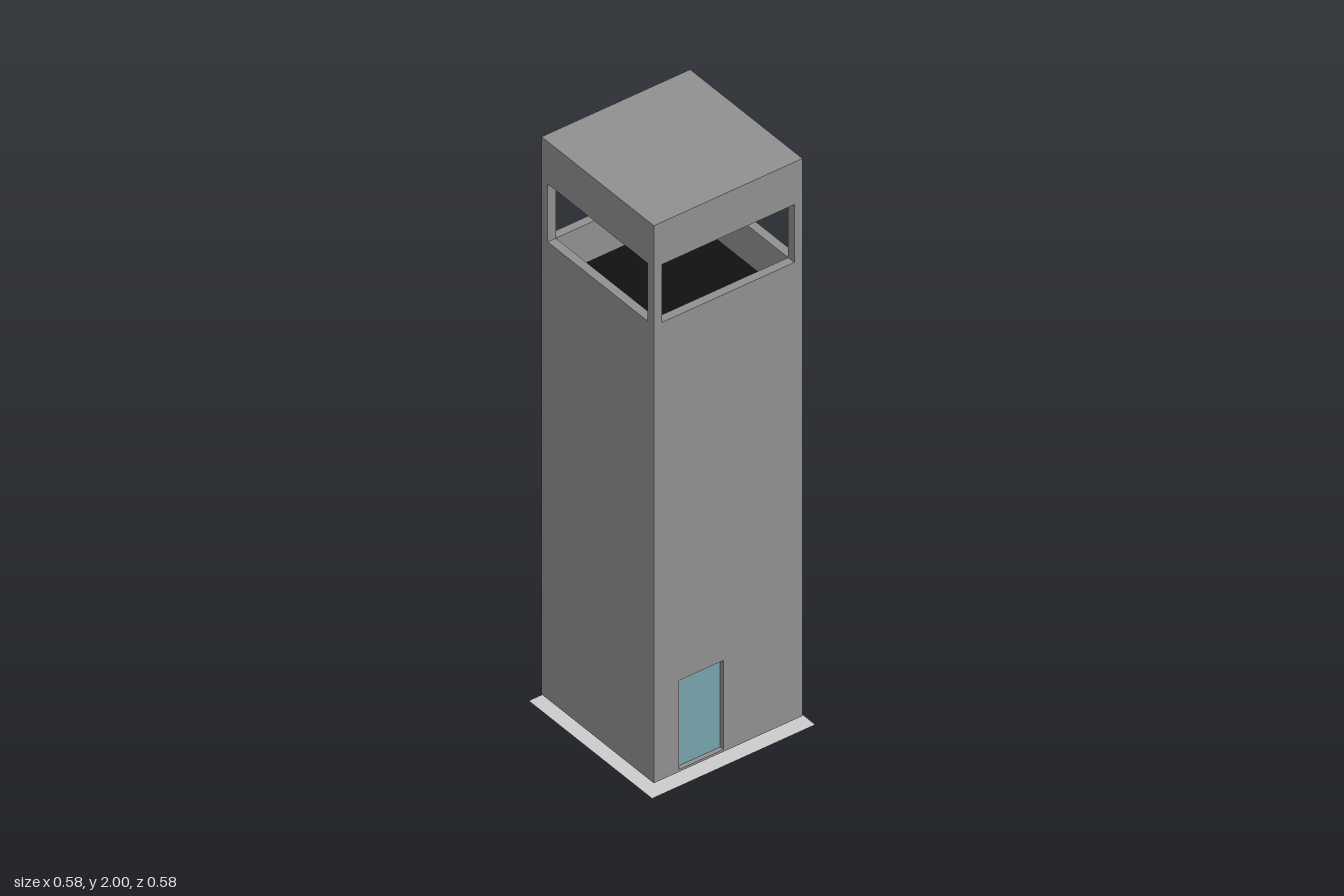
import * as THREE from 'three';

const H = 0.264;      // half width of the tower
const T = 0.029;      // wall thickness
const IN = H - T;     // half width inside
const BASE = 0.027, SILL = 1.645, HEAD = 1.85, CEIL = 1.93, TOP = 2;

const wallMat = new THREE.MeshStandardMaterial({ color: 0x909090 });
const floorMat = new THREE.MeshStandardMaterial({ color: 0x111111 });
const doorMat = new THREE.MeshStandardMaterial({ color: 0x76a3ac });
const slabMat = new THREE.MeshStandardMaterial({ color: 0xcccccc, side: THREE.DoubleSide });

function rect(target, x0, x1, y0, y1) {
  target.moveTo(x0, y0);
  target.lineTo(x1, y0);
  target.lineTo(x1, y1);
  target.lineTo(x0, y1);
  target.closePath();
  return target;
}

// Wall panel standing on the +z side, turned to its own side by yaw
function panel(name, yaw, halfW, y0, y1, hole) {
  const shape = rect(new THREE.Shape(), -halfW, halfW, y0, y1);
  if (hole) shape.holes.push(rect(new THREE.Path(), ...hole));
  const geo = new THREE.ExtrudeGeometry(shape, { depth: T, bevelEnabled: false });
  geo.translate(0, 0, IN);
  const mesh = new THREE.Mesh(geo, wallMat);
  mesh.name = name;
  mesh.rotation.y = yaw;
  return mesh;
}

function slab(name, width, y0, y1, mat) {
  const mesh = new THREE.Mesh(new THREE.BoxGeometry(width, y1 - y0, width), mat);
  mesh.name = name;
  mesh.position.y = (y0 + y1) / 2;
  return mesh;
}

export function createModel() {
  const g = new THREE.Group();
  g.name = 'lookoutTower';

  // Front and back walls carry the corner posts
  const opening = [-IN, IN, SILL, HEAD];
  g.add(panel('frontWall', 0, H, BASE, CEIL, opening));
  g.add(panel('backWall', Math.PI, H, BASE, CEIL, opening));

  // Side walls and lintels fit between them; the left one has the doorway
  const doorway = [-0.175, -0.017, 0.035, 0.35];
  g.add(panel('leftWall', Math.PI / 2, IN, BASE, SILL, doorway));
  g.add(panel('rightWall', -Math.PI / 2, IN, BASE, SILL));
  g.add(panel('leftLintel', Math.PI / 2, IN, HEAD, CEIL));
  g.add(panel('rightLintel', -Math.PI / 2, IN, HEAD, CEIL));

  // Roof and lookout floor
  g.add(slab('roof', 2 * H, CEIL, TOP, wallMat));
  g.add(slab('lookoutFloor', 2 * IN, 1.48, 1.51, floorMat));

  // Door set back in its opening
  const door = new THREE.Mesh(new THREE.BoxGeometry(0.012, 0.315, 0.158), doorMat);
  door.name = 'door';
  door.position.set(H - 0.021, 0.1925, 0.096);
  g.add(door);

  // Flat ground pad
  const pad = new THREE.Mesh(new THREE.PlaneGeometry(0.58, 0.58), slabMat);
  pad.name = 'groundPad';
  pad.rotation.x = -Math.PI / 2;
  g.add(pad);

  return g;
}
